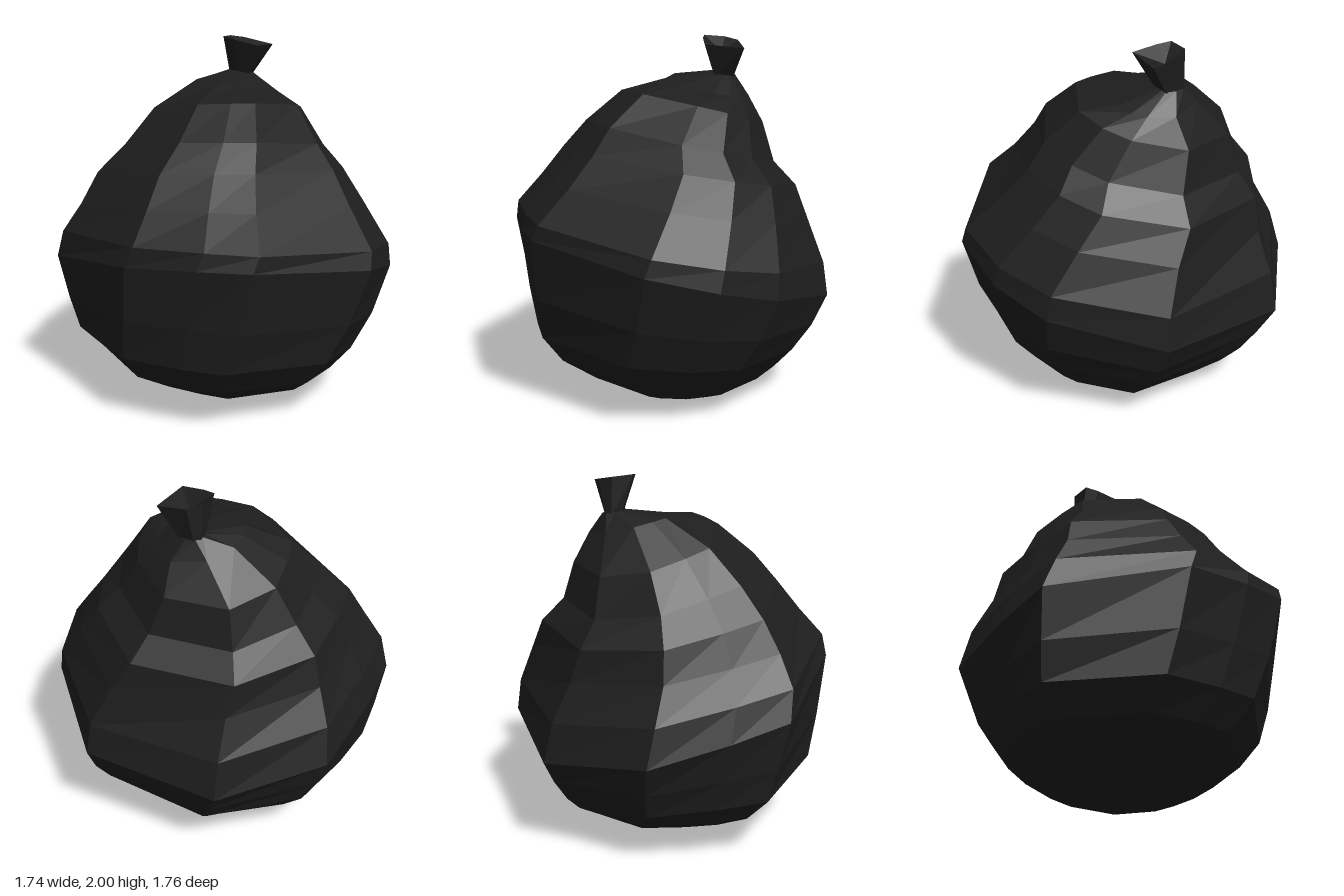
import * as THREE from 'three';

// Irregular outlines, going back -> right (+x) -> front -> left, in unit coordinates
const SACK_OUTLINE = [
  [-0.33, -1], [0.39, -0.96], [1, -0.32], [0.97, 0.4], [0.76, 0.74],
  [0.41, 1], [-0.39, 0.96], [-0.63, 0.73], [-0.92, 0.38], [-1, -0.46], [-0.73, -0.71],
];
const TIE_OUTLINE = [
  [-0.36, -1], [0.24, -0.96], [1, 0.1], [-0.28, 1], [-0.8, 0.1], [-1, -0.45],
];

// Ring rows: xMin, xMax, zMin, zMax, mean height, tilt along x, tilt along z, twist in degrees
const SACK = [
  [0.06, 0.06, -0.18, -0.18, 0, 0, 0, 0],
  [-0.26, 0.41, -0.35, 0.33, 0.04, -0.005, 0.005, 10],
  [-0.44, 0.54, -0.48, 0.48, 0.105, -0.01, 0.01, 9],
  [-0.65, 0.63, -0.64, 0.63, 0.21, -0.03, 0.02, 8],
  [-0.76, 0.72, -0.74, 0.75, 0.34, -0.05, 0.05, 6],
  [-0.81, 0.81, -0.81, 0.82, 0.53, -0.08, 0.1, 3],
  [-0.87, 0.87, -0.88, 0.88, 0.78, -0.13, 0.19, 0],
  [-0.855, 0.84, -0.82, 0.85, 0.93, -0.11, 0.13, -2],
  [-0.76, 0.75, -0.73, 0.67, 1.12, -0.07, 0.12, -5],
  [-0.66, 0.67, -0.71, 0.54, 1.29, -0.06, 0.12, -8],
  [-0.51, 0.55, -0.61, 0.46, 1.43, -0.07, 0.12, -9],
  [-0.33, 0.47, -0.55, 0.28, 1.62, -0.05, 0.1, -12],
  [-0.07, 0.39, -0.38, 0.04, 1.735, -0.05, 0.015, -12],
  [0.16, 0.29, -0.31, -0.16, 1.8, -0.01, 0, -12],
  [0.23, 0.23, -0.23, -0.23, 1.8, 0, 0, 0],
];
const TIE = [
  [0.17, 0.29, -0.31, -0.16, 1.78, -0.01, 0, 0],
  [0.11, 0.39, -0.31, -0.04, 1.975, -0.025, -0.01, 0],
  [0.23, 0.23, -0.21, -0.21, 1.92, 0, 0, 0],
];

// Twist the outline, then fit it into the ring's extents
function ringPoints(outline, [x0, x1, z0, z1, y, tiltX, tiltZ, twist]) {
  const turned = outline.map(([u, v]) => new THREE.Vector2(u, v)
    .rotateAround(new THREE.Vector2(), THREE.MathUtils.degToRad(twist)));
  const box = new THREE.Box2().setFromPoints(turned);
  return turned.map((p) => {
    const u = THREE.MathUtils.mapLinear(p.x, box.min.x, box.max.x, -1, 1);
    const v = THREE.MathUtils.mapLinear(p.y, box.min.y, box.max.y, -1, 1);
    return new THREE.Vector3(
      (x0 + x1) / 2 + u * (x1 - x0) / 2,
      y + u * tiltX + v * tiltZ,
      (z0 + z1) / 2 + v * (z1 - z0) / 2,
    );
  });
}

// Skin consecutive rings with flat facets, skipping triangles collapsed at a pole
function skin(outline, rows) {
  const rings = rows.map((row) => ringPoints(outline, row));
  const positions = [];
  const face = (p, q, r) => {
    if (new THREE.Triangle(p, q, r).getArea() < 1e-7) return;
    positions.push(...p.toArray(), ...q.toArray(), ...r.toArray());
  };
  for (let i = 0; i < rings.length - 1; i++) {
    for (let k = 0; k < outline.length; k++) {
      const n = (k + 1) % outline.length;
      const a = rings[i][k], b = rings[i][n], c = rings[i + 1][k], d = rings[i + 1][n];
      face(b, a, c);
      face(b, c, d);
    }
  }
  const geometry = new THREE.BufferGeometry();
  geometry.setAttribute('position', new THREE.Float32BufferAttribute(positions, 3));
  geometry.computeVertexNormals();
  return geometry;
}

export function createModel() {
  const group = new THREE.Group();
  group.name = 'tiedSack';
  const blackPlastic = new THREE.MeshStandardMaterial({ color: 0x1e1e1e, flatShading: true });
  blackPlastic.name = 'blackPlastic';

  // Bulging sack body, twisting and leaning towards its knot
  const sack = new THREE.Mesh(skin(SACK_OUTLINE, SACK), blackPlastic);
  sack.name = 'sackBody';

  // Flared, dished tuft above the neck
  const tie = new THREE.Mesh(skin(TIE_OUTLINE, TIE), blackPlastic);
  tie.name = 'tiedTop';

  group.add(sack, tie);
  return group;
}
